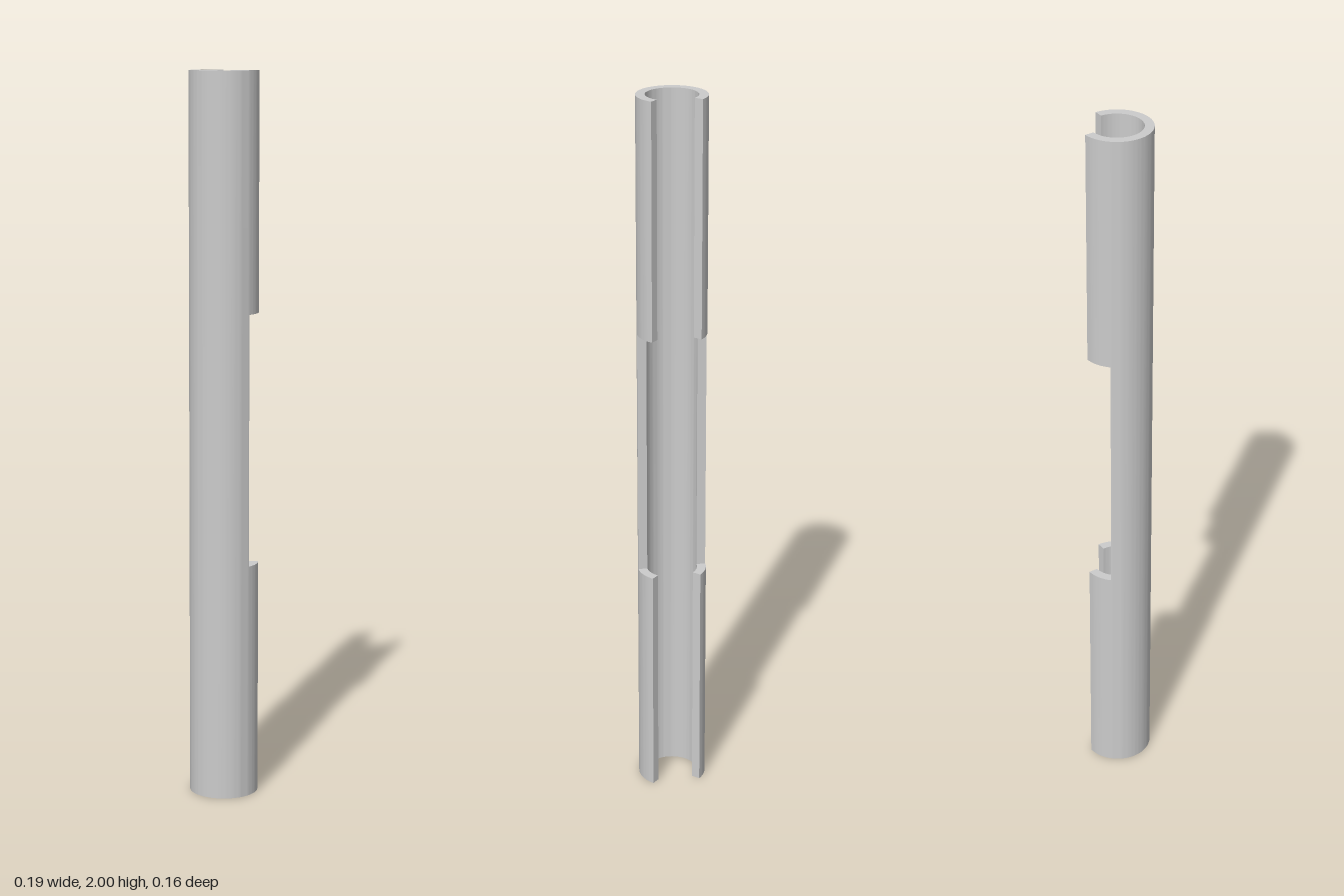
import * as THREE from 'three';
import { toCreasedNormals } from 'three/addons/utils/BufferGeometryUtils.js';

const OUTER = 0.095, INNER = 0.07, CENTRE_Z = -0.015;
const HEIGHT = 2, CUT_LOW = 0.655, CUT_HIGH = 1.35;
const STEP = Math.PI / 48;          // angle of one facet
const HALF = 24, END = 36;          // facets from the front to the window edge and to the slot edge

// Point on the tube wall; angle step 0 is the front, growing towards +x
const point = (r, step, y) =>
  [r * Math.sin(step * STEP), y, r * Math.cos(step * STEP) + CENTRE_Z];

function slottedTubeGeometry() {
  const positions = [];
  const quad = (a, b, c, d) => positions.push(...a, ...b, ...c, ...a, ...c, ...d);

  // One facet of the wall: outside, inside, top rim, bottom rim
  function wall(i, y0, y1) {
    const j = i + 1;
    quad(point(OUTER, i, y0), point(OUTER, j, y0), point(OUTER, j, y1), point(OUTER, i, y1));
    quad(point(INNER, j, y0), point(INNER, i, y0), point(INNER, i, y1), point(INNER, j, y1));
    quad(point(OUTER, i, y1), point(OUTER, j, y1), point(INNER, j, y1), point(INNER, i, y1));
    quad(point(INNER, i, y0), point(INNER, j, y0), point(OUTER, j, y0), point(OUTER, i, y0));
  }

  // Radial edge faces, mirrored on both sides
  function edges(step, y0, y1) {
    for (const [s, first, second] of [[step, OUTER, INNER], [-step, INNER, OUTER]]) {
      quad(point(first, s, y0), point(second, s, y0), point(second, s, y1), point(first, s, y1));
    }
  }

  const ends = [[0, CUT_LOW], [CUT_HIGH, HEIGHT]];
  for (let i = -END; i < END; i++) {
    const spans = i >= -HALF && i < HALF ? [[0, HEIGHT]] : ends;
    for (const [y0, y1] of spans) wall(i, y0, y1);
  }
  for (const [y0, y1] of ends) edges(END, y0, y1);  // narrow slot at both ends
  edges(HALF, CUT_LOW, CUT_HIGH);                   // wide window in the middle

  const geometry = new THREE.BufferGeometry();
  geometry.setAttribute('position', new THREE.Float32BufferAttribute(positions, 3));
  return toCreasedNormals(geometry, Math.PI / 6);
}

export function createModel() {
  const group = new THREE.Group();
  group.name = 'slottedSleeve';
  const tube = new THREE.Mesh(
    slottedTubeGeometry(),
    new THREE.MeshStandardMaterial({ color: 0xcccccc })
  );
  tube.name = 'slottedTube';
  group.add(tube);
  return group;
}
